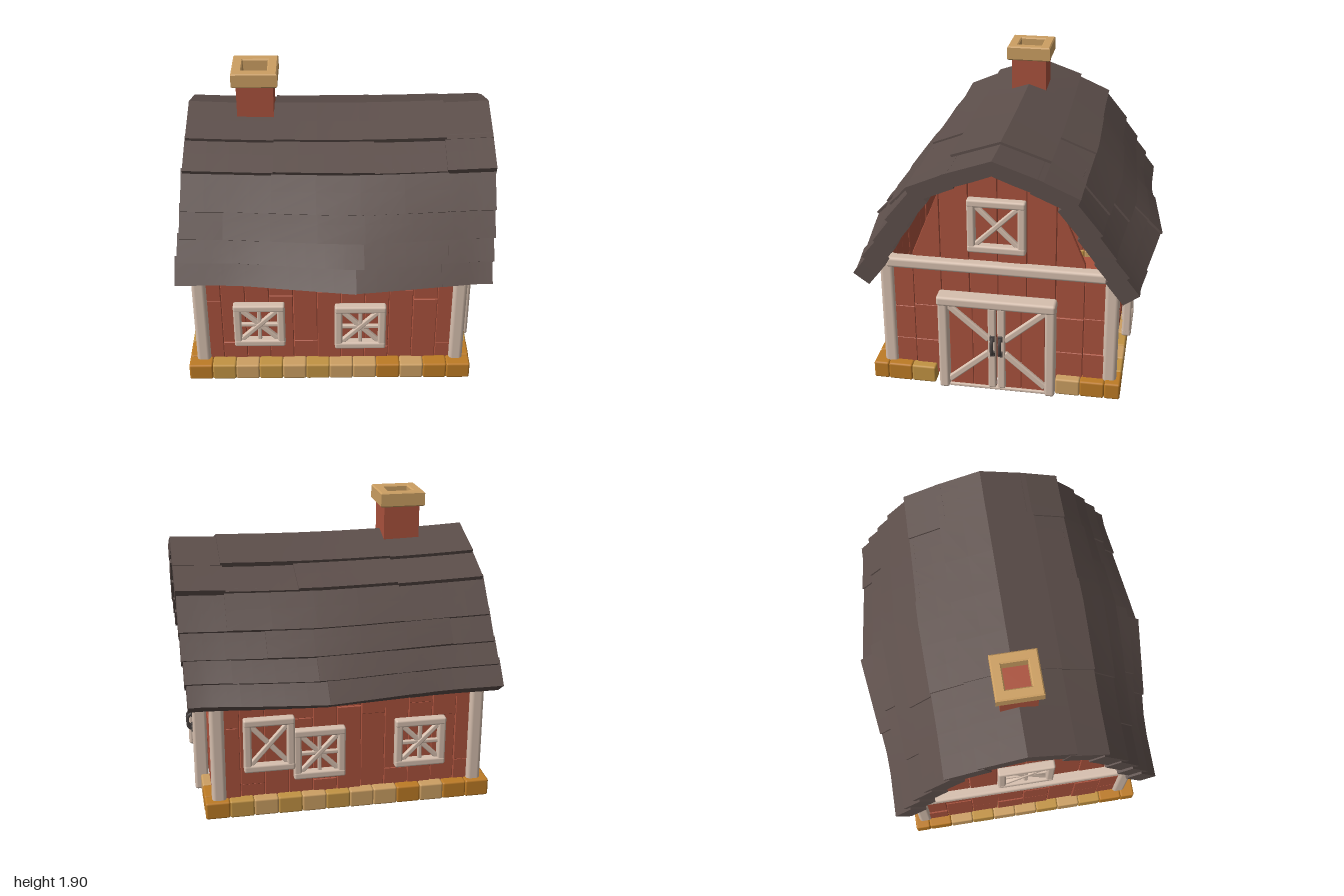
import * as THREE from 'three';
import { RoundedBoxGeometry } from 'three/addons/geometries/RoundedBoxGeometry.js';

const mat = (name, color) => {
  const m = new THREE.MeshStandardMaterial({ color });
  m.name = name;
  return m;
};
const red = mat('barn red', 0xaa523d);
const trim = mat('pale trim', 0xd6bfae);
const slate = mat('roof brown', 0x5c4e4a);
const tan = mat('tan stone', 0xcc9f62);
const honey = mat('honey stone', 0xc29343);
const orange = mat('orange stone', 0xbd7b25);
const iron = mat('dark iron', 0x4a4442);

export function createModel() {
  const root = new THREE.Group();
  root.name = 'barn';
  let seed = 7;
  const rnd = () => (seed = (seed * 16807) % 2147483647) / 2147483647;
  const jit = (a) => (rnd() - 0.5) * 2 * a;

  const add = (parent, name, geo, material, x = 0, y = 0, z = 0, rz = 0) => {
    const m = new THREE.Mesh(geo, material);
    m.name = name;
    m.position.set(x, y, z);
    m.rotation.z = rz;
    parent.add(m);
    return m;
  };
  const group = (parent, name, x, y, z, ry = 0) => {
    const g = new THREE.Group();
    g.name = name;
    g.position.set(x, y, z);
    g.rotation.y = ry;
    parent.add(g);
    return g;
  };
  const bar = (parent, name, w, h, d, x, y, z, rz = 0, material = trim, round = 0.28) =>
    add(parent, name, new RoundedBoxGeometry(w, h, d, 2, Math.min(w, h, d) * round), material, x, y, z, rz);

  // Upright board: bottom y0, sloping top from yl to yr
  const plank = (wall, u0, u1, y0, yl, yr) => {
    const g = 0.005;
    const s = new THREE.Shape([[u0 + g, y0], [u1 - g, y0], [u1 - g + jit(0.002), yr], [u0 + g + jit(0.002), yl]]
      .map((p) => new THREE.Vector2(...p)));
    const geo = new THREE.ExtrudeGeometry(s, { depth: 0.02, bevelSize: 0.004, bevelThickness: 0.005, bevelSegments: 1 });
    add(wall, 'wallPlank', geo, red, 0, 0, -0.03 + jit(0.006));
  };

  // Framed window with two diagonals, or eight spokes
  const windowFrame = (wall, u, y, z, w, h, spokes) => {
    const g = group(wall, spokes ? 'spokedWindow' : 'crossWindow', u, y, z);
    const t = 0.05;
    for (const s of [-1, 1]) {
      bar(g, 'windowRail', w, t, 0.06, 0, s * (h - t) / 2, 0);
      bar(g, 'windowStile', t, h - t, 0.055, s * (w - t) / 2, 0, 0);
      bar(g, 'windowBrace', Math.hypot(w, h) - 0.11, 0.032, 0.03, 0, 0, s * 0.003, s * Math.atan2(h, w));
    }
    if (spokes) {
      bar(g, 'windowBar', w - 0.07, 0.026, 0.026, 0, 0, 0);
      bar(g, 'windowBar', 0.026, h - 0.07, 0.026, 0, 0, 0);
    }
  };

  // Walls: local x runs along the wall, local z points outward
  const cx = -0.045;
  const front = group(root, 'frontWall', 0, 0, 0.73);
  const back = group(root, 'backWall', 0, 0, -0.73, Math.PI);
  const doorEnd = group(root, 'doorEndWall', 0.825, 0, 0, Math.PI / 2);
  const plainEnd = group(root, 'plainEndWall', -0.91, 0, 0, -Math.PI / 2);

  for (const [wall, c] of [[front, cx], [back, -cx]]) {
    for (let i = 0; i < 11; i++) {
      const u = c - 0.85 + i * (1.7 / 11), split = [0.6, 0.22, 0.66][i % 3] + jit(0.03);
      plank(wall, u, u + 1.7 / 11, 0.08, split, split);
      plank(wall, u, u + 1.7 / 11, split + 0.006, 0.86, 0.86);
    }
  }
  const gableTop = (u) => {
    const a = Math.abs(u);
    return a < 0.361 ? 1.54 - 0.45 * a : 0.86;
  };
  for (const wall of [doorEnd, plainEnd]) {
    for (let i = -4; i < 4; i++) {
      const u0 = i * 0.18, u1 = u0 + 0.18;
      const outer = i === -3 || i === 2;
      const yl = outer ? (i < 0 ? 0.92 : 1.34) : gableTop(i === 3 ? 0.6 : u0);
      const yr = outer ? (i < 0 ? 1.34 : 0.92) : gableTop(i === -4 ? 0.6 : u1);
      const breaks = [0.05, 0.3 + jit(0.02), 0.53 + jit(0.02)];
      for (let k = 0; k < 2; k++) plank(wall, u0, u1, breaks[k], breaks[k + 1] - 0.005, breaks[k + 1] - 0.005);
      plank(wall, u0, u1, breaks[2], yl, yr);
    }
    bar(wall, 'crossBeam', 1.4, 0.07, 0.08, 0, 0.865, 0.015);
  }

  // Corner posts
  for (const x of [-0.875, 0.79])
    for (const z of [-0.71, 0.71]) bar(root, 'cornerPost', 0.09, 0.8, 0.09, x, 0.48, z);

  // Windows
  for (const [wall, s] of [[front, 1], [back, -1]]) {
    windowFrame(wall, s * -0.495, 0.43, 0.045, 0.33, 0.33, true);
    windowFrame(wall, s * 0.155, 0.41, 0.045, 0.33, 0.34, true);
  }
  windowFrame(back, -0.475, 0.505, 0.065, 0.32, 0.36, false);
  windowFrame(doorEnd, 0, 1.16, 0.03, 0.36, 0.355, false);
  windowFrame(plainEnd, 0, 1.16, 0.02, 0.36, 0.355, true);

  // Double door
  const door = group(doorEnd, 'doubleDoor', 0, 0, 0.05);
  bar(door, 'doorLintel', 0.75, 0.065, 0.11, 0, 0.65, 0.01);
  bar(door, 'doorSill', 0.62, 0.02, 0.04, 0, 0.01, 0);
  for (const s of [-1, 1]) {
    bar(door, 'doorPost', 0.065, 0.63, 0.09, s * 0.34, 0.315, 0);
    for (const u of [0.08, 0.23]) bar(door, 'doorPanel', 0.148, 0.6, 0.03, s * u, 0.31, -0.01, 0, red, 0.12);
    bar(door, 'doorStile', 0.05, 0.59, 0.04, s * 0.03, 0.315, 0.01);
    bar(door, 'upperBrace', 0.35, 0.042, 0.035, s * 0.18, 0.49, 0.008, s * 0.72);
    bar(door, 'lowerBrace', 0.35, 0.042, 0.035, s * 0.18, 0.165, 0.008, s * -0.72);
    // Curved iron handle
    const path = new THREE.CatmullRomCurve3([[0.28, 0.025], [0.3, 0.058], [0.34, 0.064], [0.38, 0.058], [0.4, 0.025]]
      .map(([y, z]) => new THREE.Vector3(s * 0.025, y, z)));
    add(door, 'doorHandle', new THREE.TubeGeometry(path, 12, 0.011, 6), iron);
    for (const y of [0.285, 0.395]) bar(door, 'handlePlate', 0.03, 0.04, 0.012, s * 0.025, y, 0.034, 0, iron);
  }

  // Foundation stones and floor
  const sideTones = [orange, honey, tan, honey, tan, honey, tan, tan, orange, tan, orange, orange];
  const endTones = [orange, tan, honey, tan, tan, honey, tan, honey, orange];
  const stone = (w, d, x, z, tone) =>
    bar(root, 'foundationStone', w, 0.115 + jit(0.003), d, x, 0.058, z, 0, tone, 0.13);
  for (let i = 0; i < 12; i++) {
    const x = -0.968 + (i + 0.5) * 0.154;
    stone(0.155, 0.1, x, 0.768, sideTones[i]);
    stone(0.155, 0.1, x, -0.735, sideTones[11 - i]);
  }
  for (let i = 0; i < 9; i++) {
    const z = -0.685 + (i + 0.5) * 0.156;
    stone(0.1, 0.157, -0.918, z, endTones[i]);
    if (Math.abs(z) > 0.4) stone(0.1, 0.157, 0.832, z, endTones[i]);
  }
  add(root, 'floor', new THREE.BoxGeometry(1.72, 0.02, 1.45), red, cx, 0.05, 0.015);

  // Roof: thick overlapping slabs [z0, y0, z1, y1, thickness, x splits], outer faces from ridge to eave
  const rows = [
    [0, 1.615, 0.3, 1.505, 0.09, [-0.945, -0.38, 0.7, 0.995]],
    [0.26, 1.515, 0.51, 1.4, 0.1, [-0.95, -0.38, 0.24, 0.7, 0.995]],
    [0.48, 1.41, 0.645, 1.2, 0.12, [-0.96, -0.39, 0.7, 0.99]],
    [0.6, 1.235, 0.73, 1.055, 0.12, [-0.97, -0.69, 0.47, 0.985]],
    [0.69, 1.075, 0.8, 0.93, 0.12, [-0.985, -0.3, 0.17, 0.7, 0.975]],
    [0.76, 0.955, 0.865, 0.81, 0.12, [-1, -0.42, 0.12, 0.66, 0.965]],
  ];
  const bulge = (x) => Math.max(0, 1 - Math.abs(x - 0.12) / 0.75);
  const slab = (row, x0, x1, side, lift) => {
    const [z0, y0, z1, y1, thick] = row;
    const geo = new THREE.BoxGeometry(1, 1, 1, 4, 1, 2);
    const p = geo.attributes.position;
    const len = Math.hypot(z1 - z0, y1 - y0);
    const nz = (y0 - y1) / len, ny = (z1 - z0) / len;
    for (let i = 0; i < p.count; i++) {
      const x = x0 + (p.getX(i) + 0.5) * (x1 - x0);
      const v = side > 0 ? p.getZ(i) + 0.5 : 0.5 - p.getZ(i);
      const ridge = z0 === 0 && v < 0.01;
      const off = (p.getY(i) - 0.5) * thick + lift + 0.008 * v;
      const z = z0 + (z1 - z0) * v + (ridge ? 0 : nz * off);
      const y = y0 + (y1 - y0) * v + (ridge ? off : ny * off);
      const grow = 0.1 * bulge(x) * Math.pow(z / 0.88, 3);
      const sag = 0.035 * x * x * Math.max(0, y - 0.8);
      p.setXYZ(i, x, y + sag, side * (z + grow));
    }
    geo.computeVertexNormals();
    add(root, 'roofSlab', geo, slate);
  };
  for (const side of [1, -1])
    rows.forEach((row, r) => {
      const xs = row[5];
      for (let i = 0; i < xs.length - 1; i++) {
        const lift = r === 0 ? [0.008, 0.016, 0][i] : (i % 2) * 0.012;
        slab(row, xs[i] - (i ? 0.01 : 0), xs[i + 1], side, lift);
      }
    });

  // Chimney with an open square cap
  const chimney = group(root, 'chimney', -0.51, 0, 0);
  add(chimney, 'chimneyStack', new THREE.BoxGeometry(0.235, 0.36, 0.235), red, 0, 1.63, 0);
  const square = (r, P) => new P([[-r, -r], [r, -r], [r, r], [-r, r]].map((q) => new THREE.Vector2(...q)));
  const capShape = square(0.138, THREE.Shape);
  capShape.holes.push(square(0.088, THREE.Path));
  const capGeo = new THREE.ExtrudeGeometry(capShape, { depth: 0.08, bevelSize: 0.008, bevelThickness: 0.008, bevelSegments: 1 });
  capGeo.rotateX(-Math.PI / 2);
  add(chimney, 'chimneyCap', capGeo, tan, 0, 1.815, 0);
  return root;
}
